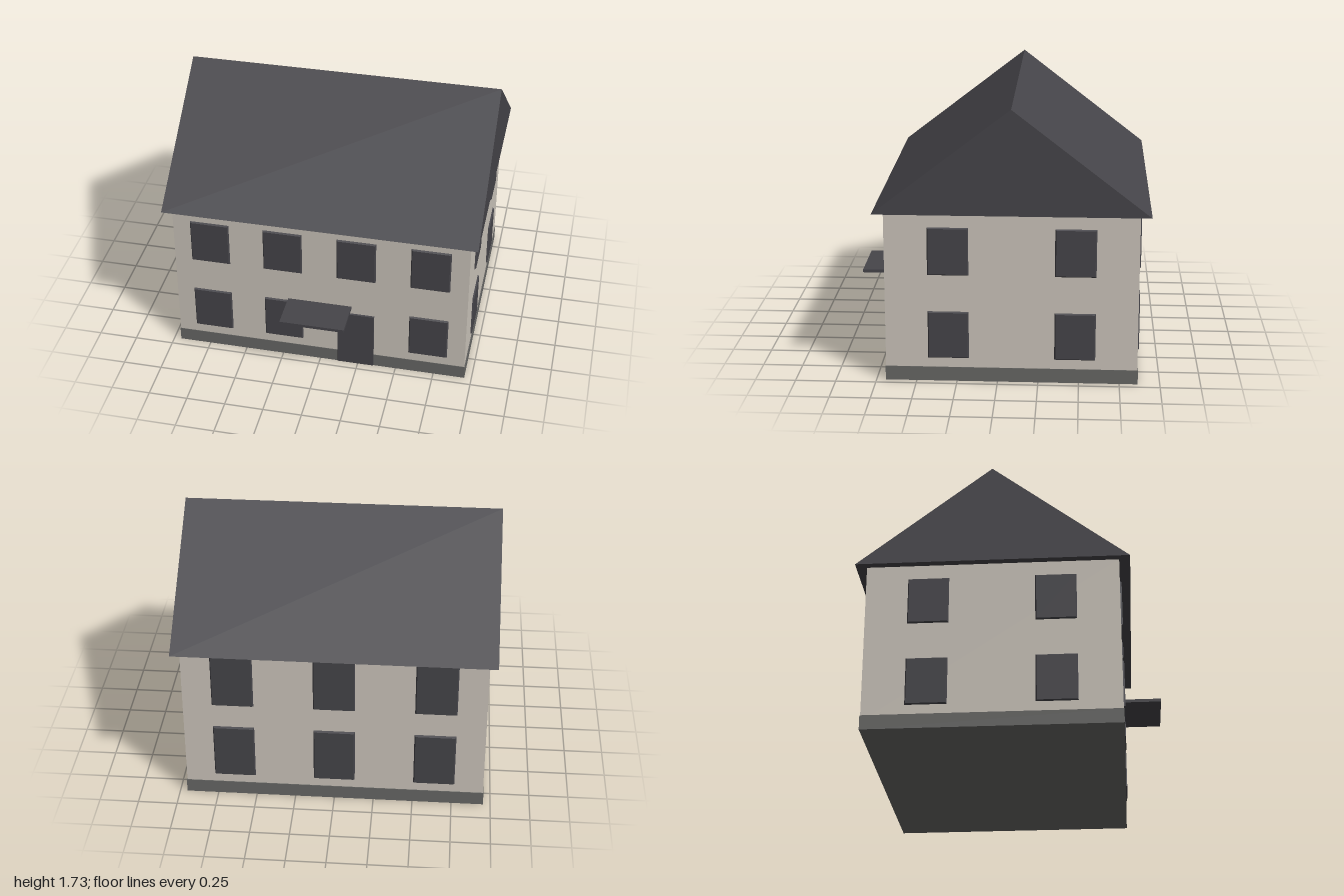
import * as THREE from 'three';

export function createModel() {
  const house = new THREE.Group();
  house.name = 'house';

  const mat = (name, color) => new THREE.MeshStandardMaterial({ name, color });
  const wallMat = mat('plaster', 0xcdc6bc);
  const plinthMat = mat('plinthGrey', 0x686866);
  const darkMat = mat('slate', 0x46454a);

  const add = (parent, name, geometry, material) => {
    const mesh = new THREE.Mesh(geometry, material);
    mesh.name = name;
    parent.add(mesh);
    return mesh;
  };

  // Box given by its limits on each axis
  const block = (name, material, [x0, x1], [y0, y1], [z0, z1]) => {
    const mesh = add(house, name, new THREE.BoxGeometry(x1 - x0, y1 - y0, z1 - z0), material);
    mesh.position.set((x0 + x1) / 2, (y0 + y1) / 2, (z0 + z1) / 2);
  };

  const W = 0.95, FRONT = 0.69, BACK = -0.86, EAVES = 1.077;

  // Main body
  block('walls', wallMat, [-W, W], [0.05, EAVES + 0.002], [BACK, FRONT]);
  block('plinth', plinthMat, [-W - 0.004, W + 0.004], [0, 0.09], [BACK - 0.004, FRONT + 0.003]);

  // Gabled roof: a triangular prism running along x
  const gable = new THREE.Shape([
    new THREE.Vector2(-0.757, EAVES),
    new THREE.Vector2(0.927, EAVES),
    new THREE.Vector2(0.085, 1.727),
  ]);
  const roof = new THREE.ExtrudeGeometry(gable, { depth: 2, bevelEnabled: false });
  roof.translate(0, 0, -1).rotateY(Math.PI / 2);
  add(house, 'roof', roof, darkMat);

  // Canopy
  block('canopy', darkMat, [-0.21, 0.205], [0.446, 0.466], [FRONT - 0.01, 0.93]);

  // Panel whose outer face is slightly smaller than its base
  const panel = (w, h, depth, inset) => {
    const geo = new THREE.BoxGeometry(w, h, depth);
    const p = geo.attributes.position;
    for (let i = 0; i < p.count; i++) {
      if (p.getZ(i) > 0) {
        p.setX(i, p.getX(i) - Math.sign(p.getX(i)) * inset);
        p.setY(i, p.getY(i) - Math.sign(p.getY(i)) * inset);
      }
    }
    const flat = geo.toNonIndexed();
    flat.computeVertexNormals();
    return flat;
  };

  // One group per wall, facing +z locally, with its origin on the wall face
  const facade = (name, x, z, turn) => {
    const group = new THREE.Group();
    group.name = name;
    group.position.set(x, 0, z);
    group.rotation.y = turn;
    house.add(group);
    return group;
  };
  const fit = (parent, name, u, y0, w, h, depth, inset = 0.007) => {
    add(parent, name, panel(w, h, depth, inset), darkMat).position.set(u, y0 + h / 2, depth / 2);
  };

  // Front: four windows above, three and the door below
  const front = facade('frontOpenings', 0, FRONT, 0);
  for (const u of [-0.712, -0.24, 0.235, 0.708]) {
    fit(front, 'upperWindow', u, 0.685, 0.252, 0.302, 0.011);
    if (u !== 0.235) fit(front, 'lowerWindow', u, 0.15, 0.252, 0.302, 0.011);
  }
  fit(front, 'door', 0.235, 0, 0.24, 0.41, 0.011, 0.003);

  // Back: three taller windows on each floor
  const back = facade('backOpenings', 0, BACK, Math.PI);
  for (const u of [-0.635, 0, 0.635]) {
    fit(back, 'upperWindow', u, 0.685, 0.262, 0.372, 0.014);
    fit(back, 'lowerWindow', u, 0.15, 0.262, 0.372, 0.014);
  }

  // Sides: two windows on each floor
  for (const s of [-1, 1]) {
    const side = facade(s > 0 ? 'leftOpenings' : 'rightOpenings', s * W, 0, s * Math.PI / 2);
    for (const z of [0.302, -0.475]) {
      fit(side, 'upperWindow', -s * z, 0.685, 0.252, 0.302, 0.01);
      fit(side, 'lowerWindow', -s * z, 0.15, 0.252, 0.302, 0.01);
    }
  }

  return house;
}
